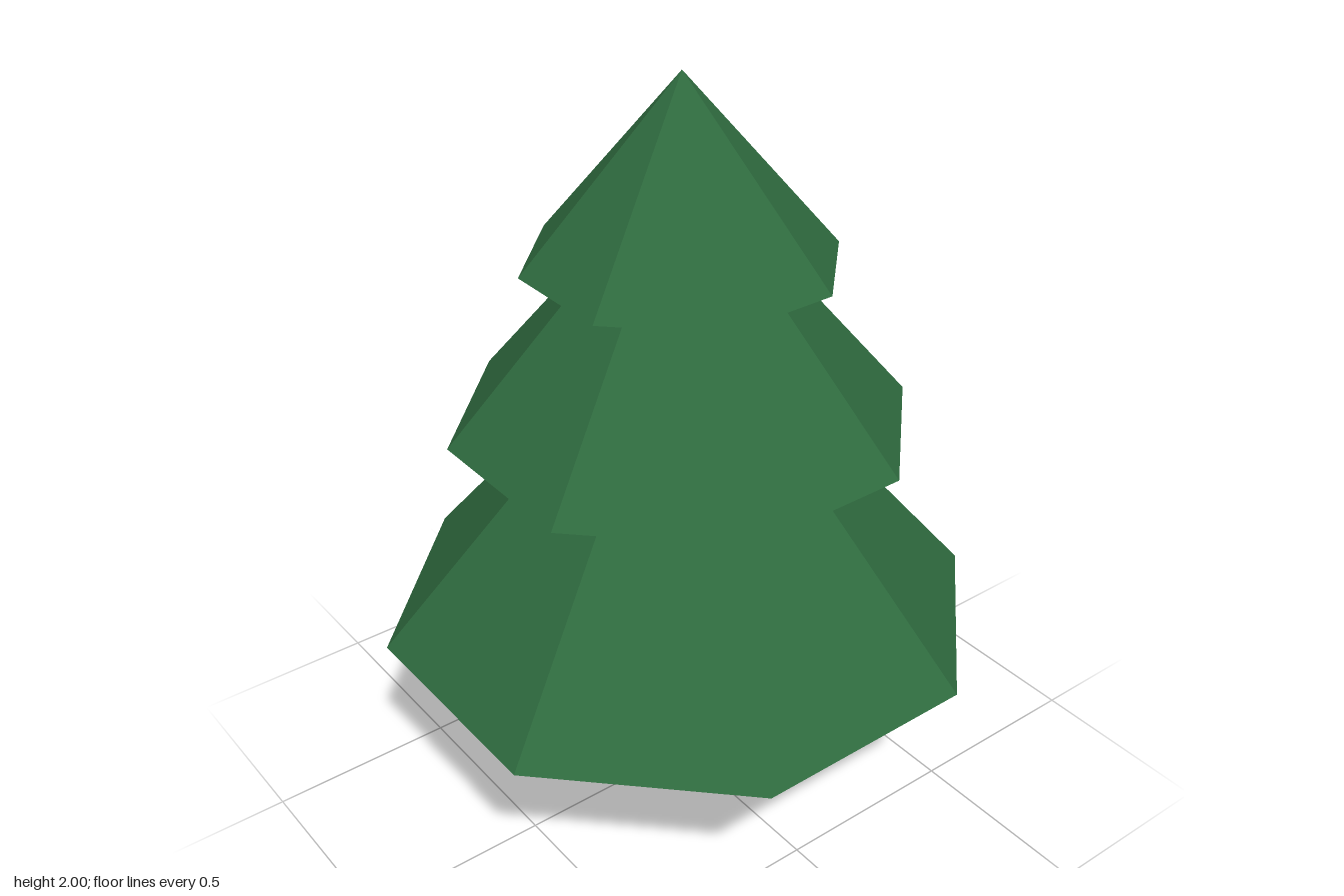
import * as THREE from 'three';

const SIDES = 8;
const TURN = Math.PI / SIDES; // turns a flat side to the front
const toCorner = 1 / Math.cos(TURN); // half-width across flats -> corner radius

export function createModel() {
  const tree = new THREE.Group();
  tree.name = 'pineTree';

  const foliage = new THREE.MeshStandardMaterial({ color: 0x2f6b3f, flatShading: true });
  foliage.name = 'foliage green';
  const bark = new THREE.MeshStandardMaterial({ color: 0x5c4530, flatShading: true });
  bark.name = 'bark brown';

  // Octagonal trunk
  const trunkHeight = 0.6;
  const trunkRadius = 0.125 * toCorner;
  const trunk = new THREE.Mesh(
    new THREE.CylinderGeometry(trunkRadius, trunkRadius, trunkHeight, SIDES, 1, false, TURN), bark);
  trunk.name = 'trunk';
  trunk.position.y = trunkHeight / 2;
  tree.add(trunk);

  // Three overlapping cones of foliage, closed underneath
  const tiers = [
    { name: 'lowerFoliage', halfWidth: 0.73, base: 0.53, height: 0.93 },
    { name: 'middleFoliage', halfWidth: 0.547, base: 1.1, height: 0.7 },
    { name: 'topFoliage', halfWidth: 0.365, base: 1.535, height: 0.465 },
  ];
  for (const { name, halfWidth, base, height } of tiers) {
    const tier = new THREE.Mesh(
      new THREE.ConeGeometry(halfWidth * toCorner, height, SIDES, 1, false, TURN), foliage);
    tier.name = name;
    tier.position.y = base + height / 2;
    tree.add(tier);
  }

  return tree;
}
